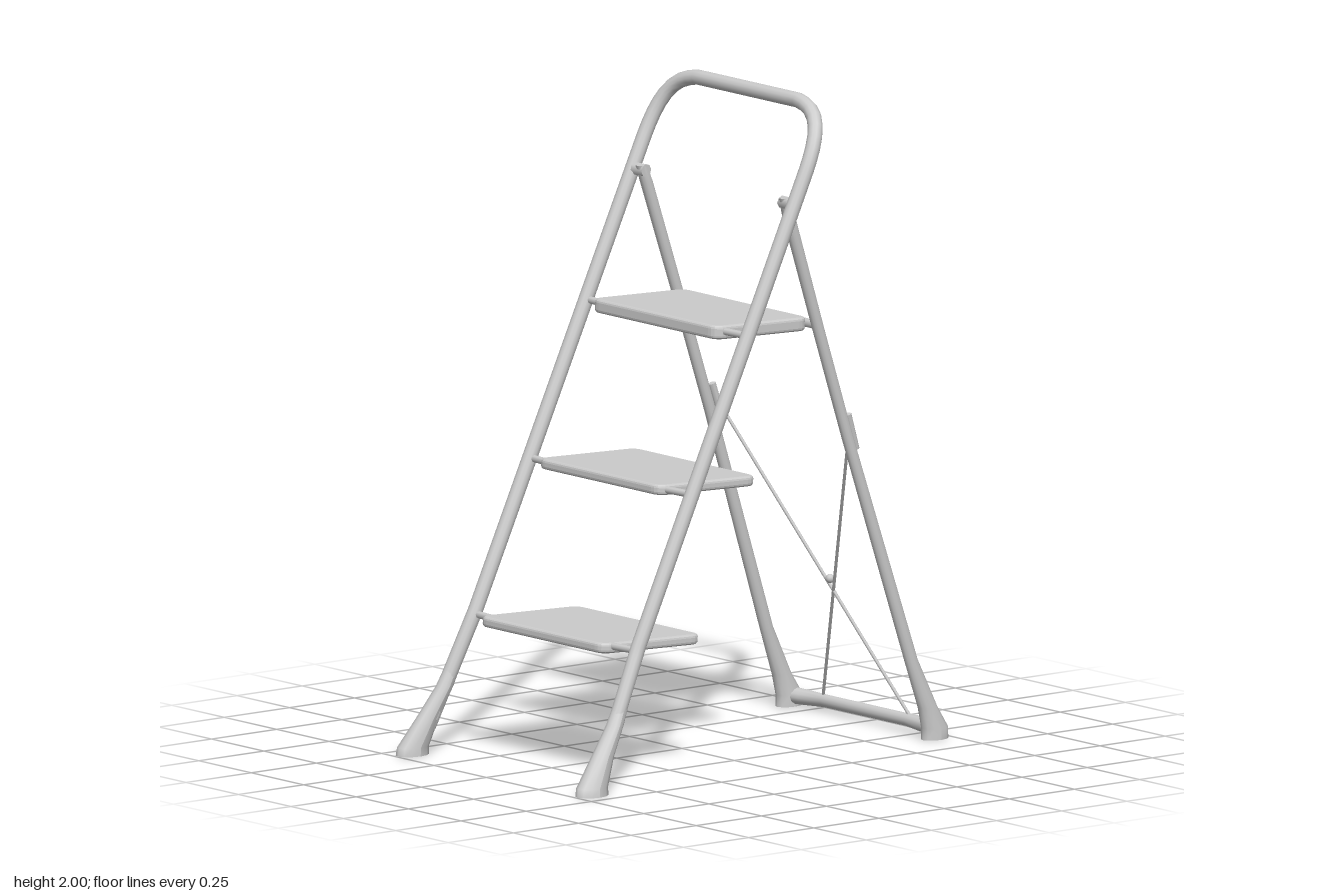
import * as THREE from 'three';

const V = (x, y, z) => new THREE.Vector3(x, y, z);
const material = new THREE.MeshStandardMaterial({ color: 0xcccccc });

function add(group, name, geometry) {
  const mesh = new THREE.Mesh(geometry, material);
  mesh.name = name;
  group.add(mesh);
  return mesh;
}

// Stacked elliptical sections [x, y, z, rx, rz], listed bottom to top
function loft(sections, sides = 12) {
  const n = sections.length - 1;
  const g = new THREE.CylinderGeometry(1, 1, 1, sides, n);
  const p = g.attributes.position;
  for (let i = 0; i < p.count; i++) {
    const [x, y, z, rx, rz] = sections[Math.round((p.getY(i) + 0.5) * n)];
    p.setXYZ(i, x + rx * p.getX(i), y, z + rz * p.getZ(i));
  }
  g.computeVertexNormals();
  return g;
}

// Straight capped rod between two points
function rod(a, b, r) {
  const d = b.clone().sub(a);
  const g = new THREE.CylinderGeometry(r, r, d.length(), 8);
  g.applyQuaternion(new THREE.Quaternion().setFromUnitVectors(V(0, 1, 0), d.normalize()));
  const m = a.clone().add(b).multiplyScalar(0.5);
  return g.translate(m.x, m.y, m.z);
}

// Lines of the leaning front frame and the rear frame
const frontX = (y) => -0.678 + 0.471 * y;
const rearX = (y) => 0.683 - 0.33 * y;
const F = (y, z) => V(frontX(y), y, z);

// Front frame: one bent tube from foot to foot
function frontFrame() {
  const path = new THREE.CurvePath();
  path.add(new THREE.LineCurve3(F(0.08, 0.415), F(0.42, 0.388)));
  path.add(new THREE.LineCurve3(F(0.42, 0.388), F(1.78, 0.385)));
  path.add(new THREE.CubicBezierCurve3(F(1.78, 0.385), F(1.93, 0.385), F(1.965, 0.33), F(1.977, 0.24)));
  path.add(new THREE.LineCurve3(F(1.977, 0.24), F(1.977, -0.24)));
  path.add(new THREE.CubicBezierCurve3(F(1.977, -0.24), F(1.965, -0.33), F(1.93, -0.385), F(1.78, -0.385)));
  path.add(new THREE.LineCurve3(F(1.78, -0.385), F(0.42, -0.388)));
  path.add(new THREE.LineCurve3(F(0.42, -0.388), F(0.08, -0.415)));
  return new THREE.TubeGeometry(path, 140, 0.023, 12);
}

// Thin tread with rounded corners and edges, top surface at y = 0
function tread(length, width, thickness) {
  const b = 0.01, x = length / 2 - b, z = width / 2 - b, r = 0.03;
  const s = new THREE.Shape();
  s.moveTo(-x + r, -z);
  s.lineTo(x - r, -z);
  s.quadraticCurveTo(x, -z, x, -z + r);
  s.lineTo(x, z - r);
  s.quadraticCurveTo(x, z, x - r, z);
  s.lineTo(-x + r, z);
  s.quadraticCurveTo(-x, z, -x, z - r);
  s.lineTo(-x, -z + r);
  s.quadraticCurveTo(-x, -z, -x + r, -z);
  const g = new THREE.ExtrudeGeometry(s, {
    depth: thickness - 2 * b, bevelThickness: b, bevelSize: b, bevelSegments: 3, curveSegments: 5,
  });
  return g.rotateX(Math.PI / 2).translate(0, -b, 0);
}

export function createModel() {
  const model = new THREE.Group();
  model.name = 'stepLadder';
  add(model, 'frontFrame', frontFrame());

  for (const s of [1, -1]) {
    const side = s > 0 ? 'left' : 'right';
    // Flared front feet
    add(model, side + 'FrontFoot', loft([
      [-0.69, 0, s * 0.428, 0.055, 0.04],
      [-0.688, 0.025, s * 0.427, 0.053, 0.038],
      [-0.64, 0.11, s * 0.416, 0.038, 0.029],
      [frontX(0.2), 0.2, s * 0.406, 0.028, 0.025],
      [frontX(0.27), 0.27, s * 0.4, 0.024, 0.021],
    ]));
    // Rear legs with flared feet
    add(model, side + 'RearLeg', loft([
      [0.69, 0, s * 0.347, 0.046, 0.032],
      [0.69, 0.035, s * 0.347, 0.045, 0.032],
      [0.662, 0.1, s * 0.348, 0.032, 0.025],
      [rearX(0.25), 0.25, s * 0.345, 0.022, 0.018],
      [rearX(0.95), 0.95, s * 0.33, 0.019, 0.016],
      [rearX(1.3), 1.3, s * 0.332, 0.019, 0.017],
      [rearX(1.66), 1.66, s * 0.338, 0.02, 0.018],
      [rearX(1.71), 1.71, s * 0.342, 0.017, 0.018],
    ]));
    // Pivot joining the two frames
    add(model, side + 'PivotPin', rod(V(0.125, 1.695, s * 0.325), V(0.12, 1.695, s * 0.385), 0.02));
    // Diagonal brace and its bracket
    add(model, side + 'CrossBrace', rod(V(0.385, 0.98, s * 0.32), V(0.71, 0.04, s * -0.21), 0.005));
    add(model, side + 'BraceBracket', rod(V(0.375, 1.02, s * 0.323), V(0.41, 0.91, s * 0.318), 0.012));
  }
  add(model, 'braceRivet', new THREE.SphereGeometry(0.014, 10, 8).translate(0.568, 0.45, 0));

  // Bottom bar of the rear frame, swelling towards the feet
  const bar = add(model, 'rearBottomBar', loft([
    [0.7, -0.35, -0.03, 0.034, 0.026],
    [0.703, -0.29, -0.031, 0.028, 0.024],
    [0.708, -0.2, -0.033, 0.018, 0.02],
    [0.708, 0.2, -0.033, 0.018, 0.02],
    [0.703, 0.29, -0.031, 0.028, 0.024],
    [0.7, 0.35, -0.03, 0.034, 0.026],
  ]));
  bar.rotation.x = Math.PI / 2;

  // Bar behind the top step
  add(model, 'rearUpperBar', rod(V(0.258, 1.305, -0.335), V(0.258, 1.305, 0.335), 0.014));

  // Treads: front edge x, length, top height, width, thickness, pin height
  const steps = [
    ['lowerStep', -0.533, 0.383, 0.415, 0.595, 0.032, 0.415],
    ['middleStep', -0.313, 0.38, 0.87, 0.585, 0.032, 0.865],
    ['upperStep', -0.1, 0.36, 1.33, 0.6, 0.042, 1.322],
  ];
  for (const [name, x, length, y, width, thickness, pinY] of steps) {
    const t = add(model, name, tread(length, width, thickness));
    t.position.set(x + length / 2, y, -0.012);
    t.rotation.z = -0.035;
    for (const s of [1, -1]) {
      add(model, name + 'Pin', rod(V(frontX(pinY) - 0.01, pinY - 0.005, s * 0.26), V(frontX(pinY), pinY - 0.005, s * 0.385), 0.011));
    }
  }
  return model;
}
